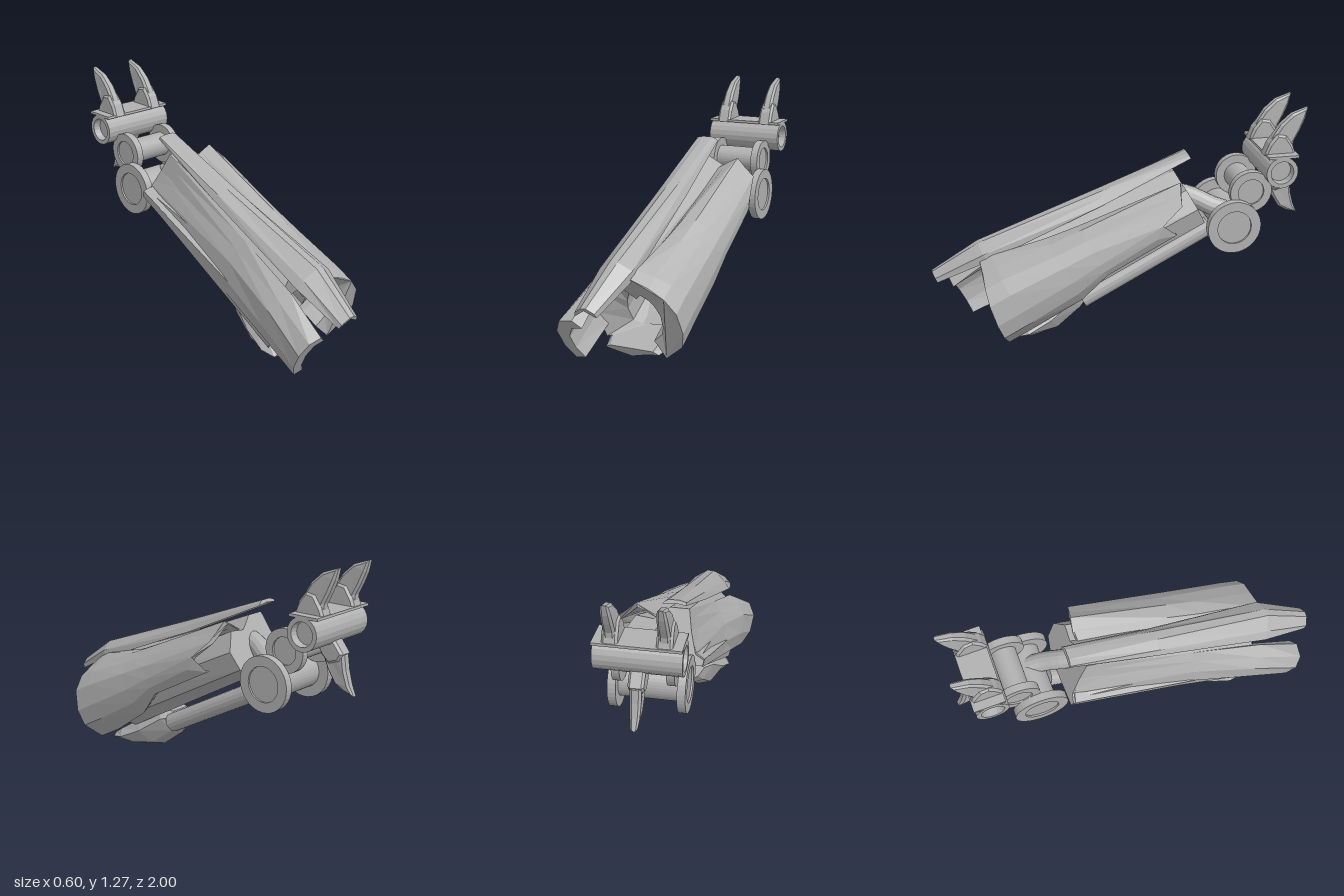
import * as THREE from 'three';

const TILT = 0.489; // slope of the forearm

const grey = new THREE.MeshStandardMaterial({ color: 0xb0b0b0, side: THREE.DoubleSide, flatShading: true });
grey.name = 'grey metal';

function add(parent, name, geometry) {
  const mesh = new THREE.Mesh(geometry, grey);
  mesh.name = name;
  parent.add(mesh);
  return mesh;
}

// Skin over cross-sections { w, p: [[x, y, zOffset], ...] } with capped ends
function loft(...sections) {
  const n = sections[0].p.length, pos = [], idx = [];
  for (const { w, p } of sections) for (const [x, y, o = 0] of p) pos.push(x, y, w + o);
  for (let s = 0; s < sections.length - 1; s++) {
    for (let i = 0; i < n; i++) {
      const a = s * n + i, b = s * n + (i + 1) % n;
      idx.push(a, b, a + n, b, b + n, a + n); // sections run clockwise, back to front
    }
  }
  [0, sections.length - 1].forEach((s) => {
    const outline = sections[s].p.map(([x, y]) => new THREE.Vector2(x, y));
    for (const [a, b, c] of THREE.ShapeUtils.triangulateShape(outline, [])) {
      if (s) idx.push(s * n + a, s * n + c, s * n + b);
      else idx.push(a, b, c);
    }
  });
  let g = new THREE.BufferGeometry();
  g.setAttribute('position', new THREE.Float32BufferAttribute(pos, 3));
  g.setIndex(idx);
  g = g.toNonIndexed();
  g.computeVertexNormals();
  return g;
}

// Plate section: the outer line, then the same line drawn in towards the arm's axis
function plateSection(w, k, outer, recess = 0) {
  const inner = outer.map(([x, y, o = 0]) => [0.03 + (x - 0.03) * k, 0.47 + (y - 0.47) * k, o - recess]);
  return { w, p: [...outer, ...inner.reverse()] };
}

// Turned part lying along x; profile is [radius, x]
function turned(profile, y, z, sides) {
  const g = new THREE.LatheGeometry(profile.map(([r, x]) => new THREE.Vector2(r, x)), sides);
  return g.rotateZ(-Math.PI / 2).translate(0, y, z);
}

function spool(a, b, t, R, inner, shaft, y, z) {
  return turned([[0, a + 0.01], [inner, a + 0.01], [inner, a], [R, a], [R, a + t], [shaft, a + t],
    [shaft, b - t], [R, b - t], [R, b], [inner, b], [inner, b - 0.01], [0, b - 0.01]], y, z, 36);
}

// Side profile [z, y] extruded across x, narrowing close to the tip
function claw(x, width, profile, baseY, tipY) {
  const shape = new THREE.Shape(profile.map(([z, y]) => new THREE.Vector2(-z, y)));
  const bevel = 0.012;
  const g = new THREE.ExtrudeGeometry(shape, {
    depth: width - 2 * bevel, bevelEnabled: true, bevelThickness: bevel, bevelSize: bevel, bevelOffset: -bevel, bevelSegments: 1,
  });
  g.translate(0, 0, bevel - width / 2).rotateY(Math.PI / 2);
  const p = g.attributes.position;
  for (let i = 0; i < p.count; i++) {
    const t = THREE.MathUtils.clamp((p.getY(i) - baseY) / (tipY - baseY), 0, 1);
    p.setX(i, x + p.getX(i) * (1 - 0.4 * t ** 4));
  }
  g.computeVertexNormals();
  return g;
}

export function createModel() {
  const model = new THREE.Group();
  model.name = 'mechanicalClawArm';
  const arm = new THREE.Group();
  arm.name = 'forearm';
  arm.rotation.x = TILT;
  model.add(arm);

  // Inner body, folding back into a hollow mouth at the front
  const mouth = [[-0.08, 0.38], [-0.09, 0.46], [-0.08, 0.52], [-0.06, 0.57], [-0.02, 0.6], [0.02, 0.59],
    [0.07, 0.56], [0.11, 0.5], [0.12, 0.43], [0.08, 0.37], [-0.03, 0.36]];
  add(arm, 'core', loft(
    { w: -0.7, p: [[-0.19, 0.375], [-0.195, 0.405], [-0.15, 0.43], [-0.12, 0.54], [-0.1, 0.655], [0, 0.655],
      [0.08, 0.59], [0.17, 0.6], [0.235, 0.5], [0.21, 0.4], [0.1, 0.355]] },
    { w: 0.3, p: [[-0.19, 0.35, 0.14], [-0.225, 0.5, 0.12], [-0.2, 0.62, 0.08], [-0.16, 0.7, 0.04], [-0.1, 0.76], [0.02, 0.74],
      [0.06, 0.66], [0.2, 0.62], [0.24, 0.53], [0.2, 0.4], [0.1, 0.34]] },
    { w: 0.33, p: mouth },
    { w: -0.05, p: mouth },
  ));

  // Long ridged fin on top, hollow underneath
  add(arm, 'topFin', loft(
    { w: -0.81, p: [[-0.1, 0.672], [-0.1, 0.688], [-0.065, 0.697], [-0.01, 0.697], [0.012, 0.685], [0.02, 0.672], [-0.04, 0.68]] },
    { w: -0.3, p: [[-0.125, 0.7], [-0.11, 0.735], [-0.06, 0.763], [-0.01, 0.76], [0.015, 0.735], [0.035, 0.7], [-0.04, 0.73]] },
    { w: 0.394, p: [[-0.16, 0.755], [-0.13, 0.8], [-0.06, 0.855], [-0.02, 0.855], [0.05, 0.81], [0.055, 0.765], [-0.05, 0.82]] },
    { w: 0.69, p: [[-0.135, 0.765], [-0.13, 0.79], [-0.09, 0.825], [-0.06, 0.828], [-0.02, 0.8], [-0.015, 0.775], [-0.075, 0.812]] },
  ));

  // Plate flaring out from the narrow back to the wide front
  add(arm, 'flaredShell', loft(
    plateSection(-0.69, 0.9, [[-0.19, 0.37], [-0.197, 0.41], [-0.15, 0.44], [-0.12, 0.53], [-0.105, 0.61]]),
    plateSection(0, 0.9, [[-0.195, 0.38], [-0.207, 0.46], [-0.2, 0.56], [-0.17, 0.63], [-0.14, 0.69]]),
    plateSection(0.38, 0.85, [[-0.215, 0.4], [-0.26, 0.5], [-0.265, 0.61], [-0.225, 0.67], [-0.17, 0.72]]),
    plateSection(0.66, 0.8, [[-0.24, 0.42], [-0.285, 0.5], [-0.3, 0.6], [-0.265, 0.675], [-0.19, 0.69]]),
  ));

  // Curved shell opposite, with a jagged rear edge and a broad bevelled lip
  const lip = [[-0.02, 0.7, -0.06], [0.05, 0.785, -0.05], [0.14, 0.75, -0.04], [0.22, 0.71, -0.02],
    [0.28, 0.64], [0.3, 0.53, 0.02], [0.28, 0.44, 0.03], [0.18, 0.35, 0.04]];
  add(arm, 'curvedShell', loft(
    plateSection(-0.6, 0.9, [[0.06, 0.6, -0.06], [0.12, 0.63, -0.08], [0.18, 0.66, -0.09], [0.23, 0.62, -0.06],
      [0.28, 0.585, -0.035], [0.3, 0.55, 0.1], [0.3, 0.5, 0.16], [0.27, 0.45, 0.06]]),
    plateSection(-0.12, 0.9, [[0.03, 0.645], [0.085, 0.695], [0.16, 0.7], [0.225, 0.66], [0.28, 0.61], [0.3, 0.54], [0.295, 0.49], [0.27, 0.45]]),
    plateSection(0.06, 0.85, [[0.015, 0.66], [0.07, 0.72], [0.15, 0.715], [0.225, 0.675], [0.28, 0.62], [0.3, 0.53], [0.285, 0.45], [0.23, 0.38]]),
    plateSection(0.36, 0.5, lip.map(([x, y]) => [x, y])),
    plateSection(0.48, 0.5, lip, 0.05),
  ));

  // Faceted jaw under the front end
  const ring = (w, hw, low, high) => ({
    w, p: [[-0.03 - hw * 0.8, high], [-0.03 + hw * 0.8, high], [-0.03 + hw, (low + 2 * high) / 3],
      [-0.03 + hw * 0.55, low + 0.03], [-0.04, low], [-0.03 - hw * 0.55, low + 0.02], [-0.03 - hw, (low + 2 * high) / 3]],
  });
  add(arm, 'lowerJaw', loft(
    ring(0.05, 0.07, 0.23, 0.335), ring(0.115, 0.11, 0.207, 0.375), ring(0.277, 0.15, 0.183, 0.36),
    ring(0.415, 0.17, 0.221, 0.35), ring(0.49, 0.15, 0.285, 0.345),
  ));

  // Piston rod below, parallel to the forearm
  const rod = add(arm, 'pistonRod', new THREE.CylinderGeometry(0.052, 0.052, 0.8, 16));
  rod.rotation.x = Math.PI / 2;
  rod.position.set(0.03, 0.277, -0.32);

  // Short link from the forearm to the hinge
  const path = new THREE.CatmullRomCurve3([[0, 0.79, -0.3], [0.03, 0.765, -0.4], [0.07, 0.72, -0.5], [0.085, 0.69, -0.58]].map((p) => new THREE.Vector3(...p)));
  add(model, 'hingeLink', new THREE.TubeGeometry(path, 8, 0.052, 14));

  // Two hinge spools and the hollow knuckle tube
  add(model, 'largeHinge', spool(-0.155, 0.23, 0.042, 0.145, 0.092, 0.09, 0.645, -0.59));
  add(model, 'smallHinge', spool(-0.115, 0.19, 0.04, 0.113, 0.07, 0.068, 0.825, -0.685));
  add(model, 'knuckleTube', turned([[0, -0.135], [0.058, -0.135], [0.062, -0.175], [0.086, -0.175],
    [0.086, 0.25], [0.062, 0.25], [0.058, 0.21], [0, 0.21]], 0.945, -0.83, 20));
  const plate = add(model, 'knucklePlate', new THREE.BoxGeometry(0.425, 0.014, 0.165));
  plate.position.set(0.0375, 1.029, -0.835);

  // Upper claws with their thicker roots
  const upper = [[-0.755, 1.03], [-0.77, 1.08], [-0.795, 1.13], [-0.83, 1.185], [-0.89, 1.24],
    [-0.975, 1.27], [-0.96, 1.21], [-0.935, 1.15], [-0.905, 1.09], [-0.9, 1.03]];
  const root = [[-0.745, 1.025], [-0.77, 1.09], [-0.81, 1.14], [-0.86, 1.13], [-0.9, 1.07], [-0.915, 1.025]];
  for (const x of [-0.09, 0.165]) {
    add(model, 'upperClaw', claw(x, 0.056, upper, 1.05, 1.27));
    add(model, 'clawRoot', claw(x, 0.078, root, 1.03, 1.2));
  }

  // Single lower claw
  const lower = [[-0.79, 0.88], [-0.82, 0.81], [-0.85, 0.74], [-0.89, 0.675], [-0.94, 0.645],
    [-1, 0.627], [-0.975, 0.68], [-0.955, 0.75], [-0.945, 0.82], [-0.89, 0.89]];
  const lowerRoot = [[-0.78, 0.88], [-0.82, 0.81], [-0.86, 0.77], [-0.92, 0.79], [-0.945, 0.83], [-0.89, 0.9]];
  add(model, 'lowerClaw', claw(0.04, 0.056, lower, 0.85, 0.627));
  add(model, 'clawRoot', claw(0.04, 0.078, lowerRoot, 0.88, 0.72));

  return model;
}
